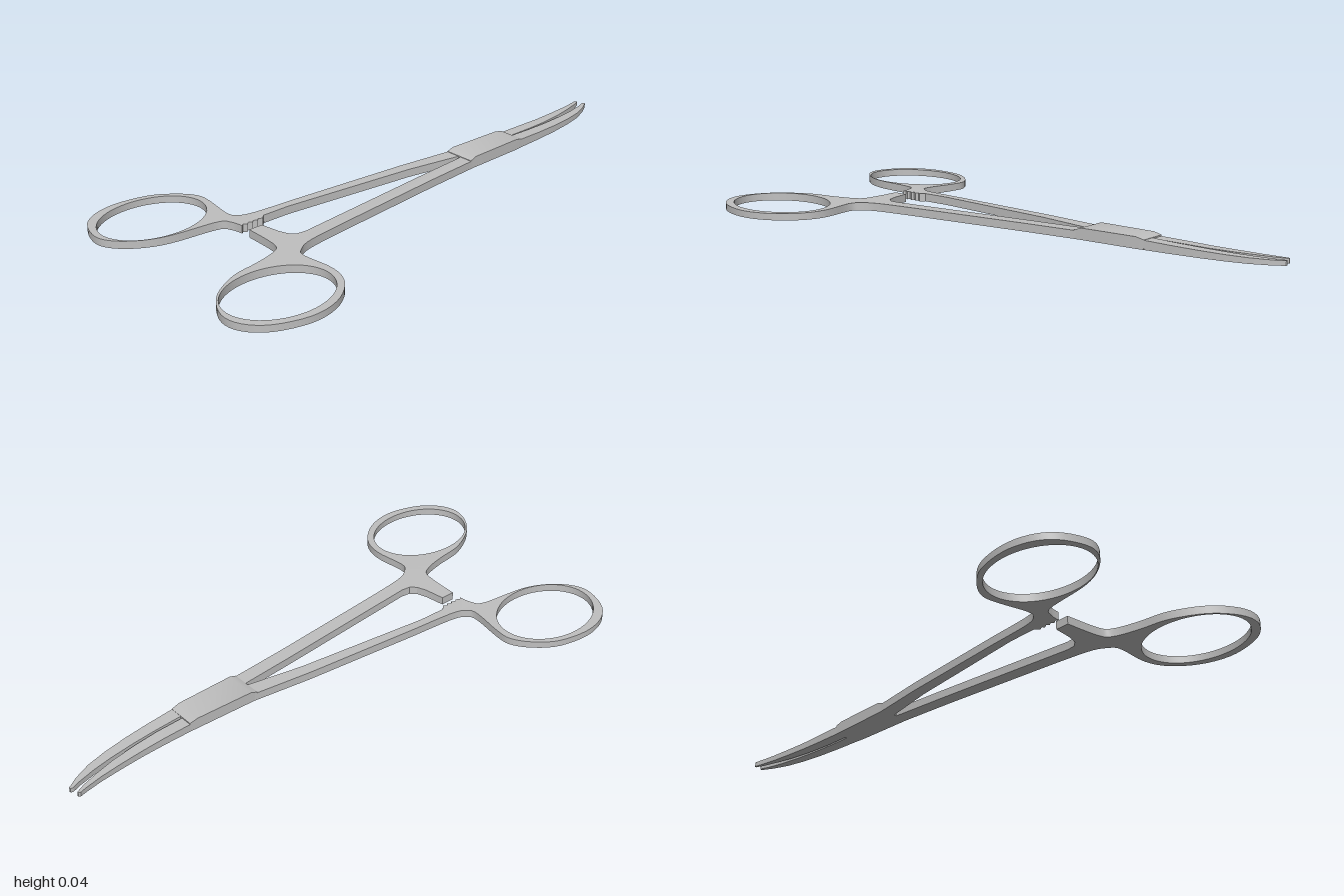
import * as THREE from 'three';
import { toCreasedNormals } from 'three/addons/utils/BufferGeometryUtils.js';

const steel = new THREE.MeshStandardMaterial({ color: 0xbfbfbf });
steel.name = 'steel';

function addMesh(group, name, geometry) {
  const mesh = new THREE.Mesh(toCreasedNormals(geometry, 0.4), steel);
  mesh.name = name;
  group.add(mesh);
}

// Finger ring and shank cut from one plate; points are [x, z]
function handle(inner, ringPath, outer, hole) {
  const v = ([x, z]) => new THREE.Vector2(x, -z);
  const shape = new THREE.Shape();
  shape.moveTo(...v(inner[0]).toArray());
  inner.slice(1).forEach(p => shape.lineTo(p[0], -p[1]));
  shape.splineThru(ringPath.map(v));
  outer.forEach(p => shape.lineTo(p[0], -p[1]));
  const [cx, cz, rx, rz] = hole;
  const ellipse = new THREE.EllipseCurve(cx, -cz, rx, rz, 0, Math.PI * 2);
  shape.holes.push(new THREE.Path(ellipse.getPoints(56)));
  const geo = new THREE.ExtrudeGeometry(shape, { depth: 0.028, bevelEnabled: false, curveSegments: 4 });
  geo.rotateX(-Math.PI / 2);
  // the plate thins towards the far side of the ring
  const pos = geo.attributes.position;
  for (let i = 0; i < pos.count; i++) {
    if (pos.getY(i) < 0.01) continue;
    const t = THREE.MathUtils.clamp((Math.abs(pos.getZ(i)) - 0.13) / 0.37, 0, 1);
    pos.setY(i, 0.028 - 0.005 * t);
  }
  return geo;
}

// Rectangular bar lofted through stations [x, zBack, zFront, yTop]
function bar(stations) {
  const verts = [], index = [];
  stations.forEach(([x, zb, zf, top]) =>
    verts.push(x, 0, zb, x, 0, zf, x, top, zf, x, top, zb));
  for (let s = 0; s < stations.length - 1; s++) {
    for (let k = 0; k < 4; k++) {
      const i = s * 4 + k, j = s * 4 + (k + 1) % 4;
      index.push(i, i + 4, j + 4, i, j + 4, j);
    }
  }
  const e = (stations.length - 1) * 4;
  index.push(0, 1, 2, 0, 2, 3, e, e + 2, e + 1, e, e + 3, e + 2);
  const geo = new THREE.BufferGeometry();
  geo.setAttribute('position', new THREE.Float32BufferAttribute(verts, 3));
  geo.setIndex(index);
  return geo;
}

export function createModel() {
  const model = new THREE.Group();
  model.name = 'clamp';

  // Front half: ring, ratchet arm and shank
  addMesh(model, 'frontHandle', handle(
    [[0.3, 0], [0.083, 0.02], [-0.473, 0.077], [-0.505, 0.073], [-0.525, 0.055],
      [-0.537, 0.02], [-0.548, -0.05], [-0.598, -0.05]],
    [[-0.606, 0.083], [-0.638, 0.12], [-0.72, 0.142], [-0.825, 0.16], [-0.932, 0.222],
      [-0.99, 0.312], [-0.985, 0.393], [-0.92, 0.462], [-0.8, 0.499], [-0.69, 0.478],
      [-0.605, 0.41], [-0.574, 0.323], [-0.585, 0.2], [-0.563, 0.163], [-0.505, 0.136],
      [-0.345, 0.115]],
    [[0.083, 0.07], [0.3, 0.051]],
    [-0.788, 0.325, 0.187, 0.146]));

  // Back half: saw-toothed ratchet edge, ring and shank
  const teeth = [];
  for (let i = 0; i < 4; i++) {
    const x = -0.515 - i * 0.02;
    teeth.push([x, -0.086], [x - 0.014, -0.094]);
  }
  addMesh(model, 'backHandle', handle(
    [[0.3, -0.006], [0.083, -0.045], [-0.4, -0.099], [-0.5, -0.101], ...teeth, [-0.597, -0.088]],
    [[-0.606, -0.13], [-0.638, -0.163], [-0.8, -0.185], [-0.89, -0.222], [-0.953, -0.28],
      [-0.974, -0.345], [-0.943, -0.435], [-0.88, -0.486], [-0.788, -0.504], [-0.676, -0.483],
      [-0.6, -0.43], [-0.558, -0.37], [-0.556, -0.31], [-0.574, -0.195], [-0.558, -0.158],
      [-0.505, -0.139], [-0.345, -0.126]],
    [[0.083, -0.088], [0.3, -0.061]],
    [-0.766, -0.334, 0.187, 0.145]));

  // Raised box joint where the halves cross
  addMesh(model, 'joint', bar([
    [0.285, -0.062, 0.052, 0.03], [0.31, -0.061, 0.051, 0.039],
    [0.52, -0.057, 0.044, 0.039], [0.55, -0.056, 0.041, 0.032]]));

  // Curved tapering jaws
  addMesh(model, 'backJaw', bar([
    [0.545, -0.056, -0.013, 0.028], [0.65, -0.058, -0.016, 0.026], [0.74, -0.062, -0.024, 0.023],
    [0.83, -0.070, -0.038, 0.021], [0.9, -0.078, -0.055, 0.019], [0.96, -0.089, -0.073, 0.017],
    [0.985, -0.095, -0.084, 0.016], [0.992, -0.092, -0.087, 0.016]]));
  addMesh(model, 'frontJaw', bar([
    [0.545, -0.006, 0.041, 0.031], [0.65, -0.009, 0.034, 0.027], [0.74, -0.015, 0.025, 0.024],
    [0.83, -0.025, 0.011, 0.021], [0.9, -0.037, -0.006, 0.019], [0.96, -0.052, -0.031, 0.017],
    [0.99, -0.063, -0.049, 0.016], [1.0, -0.062, -0.055, 0.016]]));

  return model;
}
